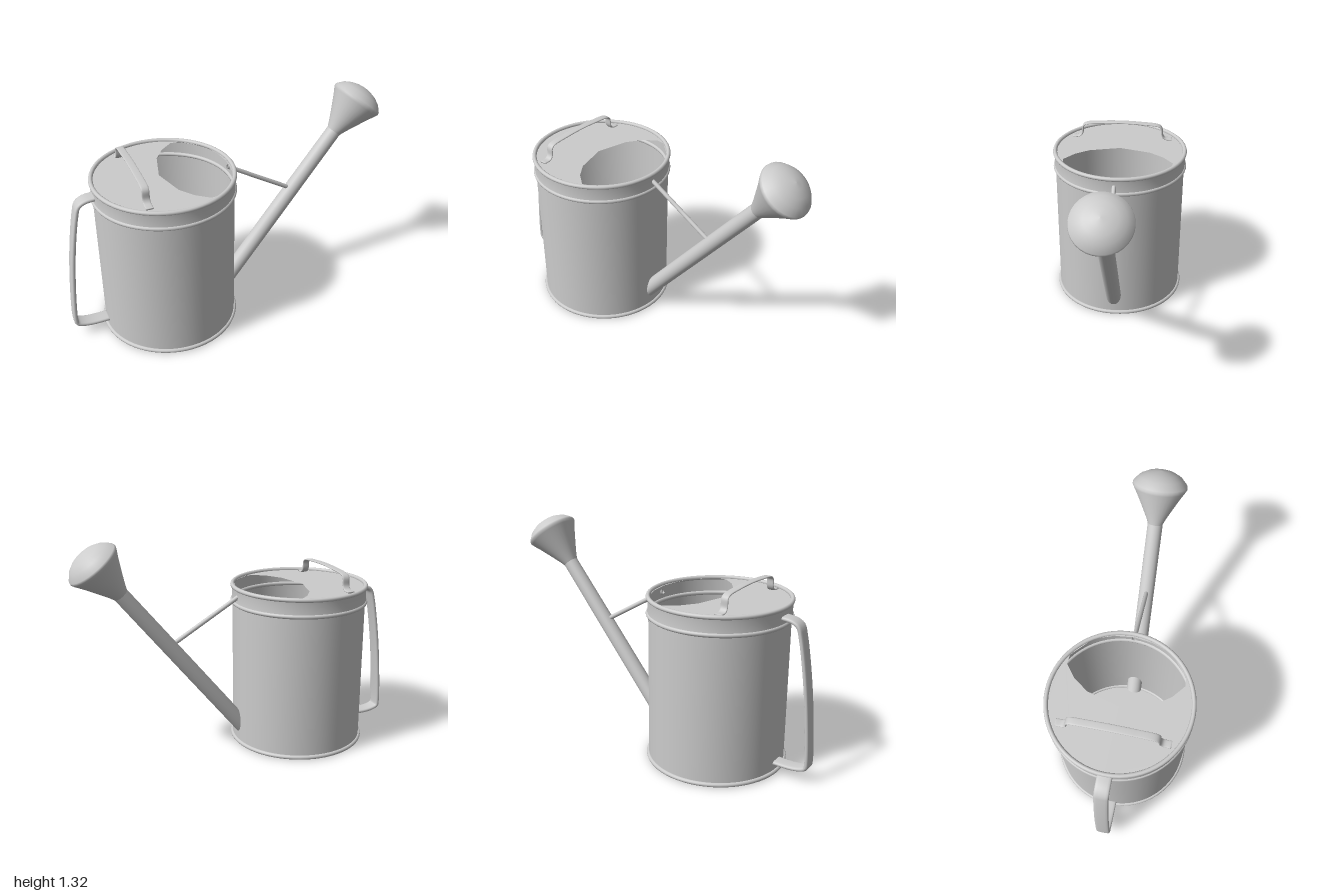
import * as THREE from 'three';

const V = (x, y, z = 0) => new THREE.Vector3(x, y, z);
const material = new THREE.MeshStandardMaterial({ color: 0xcccccc, side: THREE.DoubleSide });
const BODY_X = -0.385, RADIUS = 0.405;

function add(parent, name, geometry) {
  const mesh = new THREE.Mesh(geometry, material);
  mesh.name = name;
  parent.add(mesh);
  return mesh;
}

const lathe = (profile, sides) =>
  new THREE.LatheGeometry(profile.map(([r, y]) => new THREE.Vector2(r, y)), sides);

// Sweeps a rounded strap section along a planar path; side is the width direction.
function strap(points, side, halfWidth, halfThickness, steps = 60, sides = 16) {
  const curve = new THREE.CatmullRomCurve3(points, false, 'centripetal');
  const positions = [], index = [];
  const soften = (v) => Math.sign(v) * Math.pow(Math.abs(v), 0.6);
  for (let i = 0; i <= steps; i++) {
    const p = curve.getPointAt(i / steps);
    const out = curve.getTangentAt(i / steps).cross(side).normalize();
    for (let j = 0; j < sides; j++) {
      const a = (j / sides) * Math.PI * 2;
      const q = p.clone()
        .addScaledVector(side, halfWidth * soften(Math.cos(a)))
        .addScaledVector(out, halfThickness * soften(Math.sin(a)));
      positions.push(q.x, q.y, q.z);
      if (i === steps) continue;
      const a0 = i * sides + j, a1 = i * sides + (j + 1) % sides;
      index.push(a0, a1, a0 + sides, a1, a1 + sides, a0 + sides);
    }
  }
  // End caps
  for (let j = 1; j < sides - 1; j++) {
    const e = steps * sides;
    index.push(0, j + 1, j, e, e + j, e + j + 1);
  }
  const g = new THREE.BufferGeometry();
  g.setAttribute('position', new THREE.Float32BufferAttribute(positions, 3));
  g.setIndex(index);
  g.computeVertexNormals();
  return g;
}

// Lid plate with a leaf-shaped filling hole
function lidGeometry() {
  const shape = new THREE.Shape().absarc(0, 0, RADIUS, 0, Math.PI * 2);
  const half = [[-0.36, 0.19], [-0.3, 0.275], [-0.225, 0.335], [-0.17, 0.33],
    [-0.11, 0.3], [-0.05, 0.22], [-0.01, 0.11]];
  const outline = [[-0.41, 0], ...half, [0.003, 0], ...half.map(([x, y]) => [x, -y]).reverse()];
  shape.holes.push(new THREE.Path(outline.map(([x, y]) => new THREE.Vector2(x - BODY_X, y))));
  return new THREE.ShapeGeometry(shape, 32).rotateX(-Math.PI / 2);
}

export function createModel() {
  const model = new THREE.Group();
  model.name = 'wateringCan';

  // Body: wall, base, collar, rolled beads and lid
  const body = new THREE.Group();
  body.name = 'body';
  body.position.x = BODY_X;
  model.add(body);
  add(body, 'wall', lathe([[RADIUS, 0.01], [RADIUS, 0.98]], 64));
  add(body, 'base', new THREE.CircleGeometry(RADIUS, 64).rotateX(Math.PI / 2)).position.y = 0.006;
  add(body, 'collar', lathe([[0.412, 0.89], [0.409, 0.915], [0.409, 0.96], [0.412, 0.985]], 64));
  for (const [name, y] of [['bottomBead', 0.013], ['collarBead', 0.89], ['topRim', 0.987]]) {
    add(body, name, new THREE.TorusGeometry(0.406, 0.013, 10, 64).rotateX(Math.PI / 2)).position.y = y;
  }
  add(body, 'lid', lidGeometry()).position.y = 0.983;

  // Carrying handle across the lid, with splayed feet
  const arch = [[0.32, 0.988], [0.275, 0.992], [0.258, 1.012], [0.252, 1.06], [0.235, 1.075], [0.12, 1.087]];
  add(model, 'lidHandle', strap([
    ...arch.map(([z, y]) => V(-0.565, y, z)),
    V(-0.565, 1.091, 0),
    ...arch.map(([z, y]) => V(-0.565, y, -z)).reverse(),
  ], V(1, 0, 0), 0.022, 0.005, 90));

  // Pouring handle behind the body
  add(model, 'backHandle', strap([
    V(-0.78, 0.937), V(-0.85, 0.927), V(-0.885, 0.905), V(-0.903, 0.85), V(-0.955, 0.53),
    V(-0.985, 0.13), V(-0.98, 0.095), V(-0.95, 0.08), V(-0.89, 0.07), V(-0.78, 0.07),
  ], V(0, 0, 1), 0.043, 0.013, 80));

  // Spout and sprinkler head share one slanted axis
  const start = V(-0.02, 0.1, 0.005), end = V(0.867, 1.21, -0.02);
  const spout = new THREE.Group();
  spout.name = 'spoutAssembly';
  spout.position.copy(start);
  spout.quaternion.setFromUnitVectors(V(0, 1, 0), end.clone().sub(start).normalize());
  model.add(spout);
  add(spout, 'spout', lathe([[0.048, 0], [0.047, 0.6], [0.045, 1.2]], 24));
  add(spout, 'sprinklerHead', lathe([[0.045, 1.19], [0.06, 1.225], [0.085, 1.276], [0.13, 1.365],
    [0.153, 1.405], [0.16, 1.42], [0.157, 1.433], [0.125, 1.468], [0.085, 1.49], [0.04, 1.503], [0, 1.507]], 32));

  // Brace between the collar and the spout
  const brace = new THREE.LineCurve3(V(0.01, 0.945, 0), V(0.42, 0.705, -0.005));
  add(model, 'brace', new THREE.TubeGeometry(brace, 1, 0.013, 12));

  return model;
}
